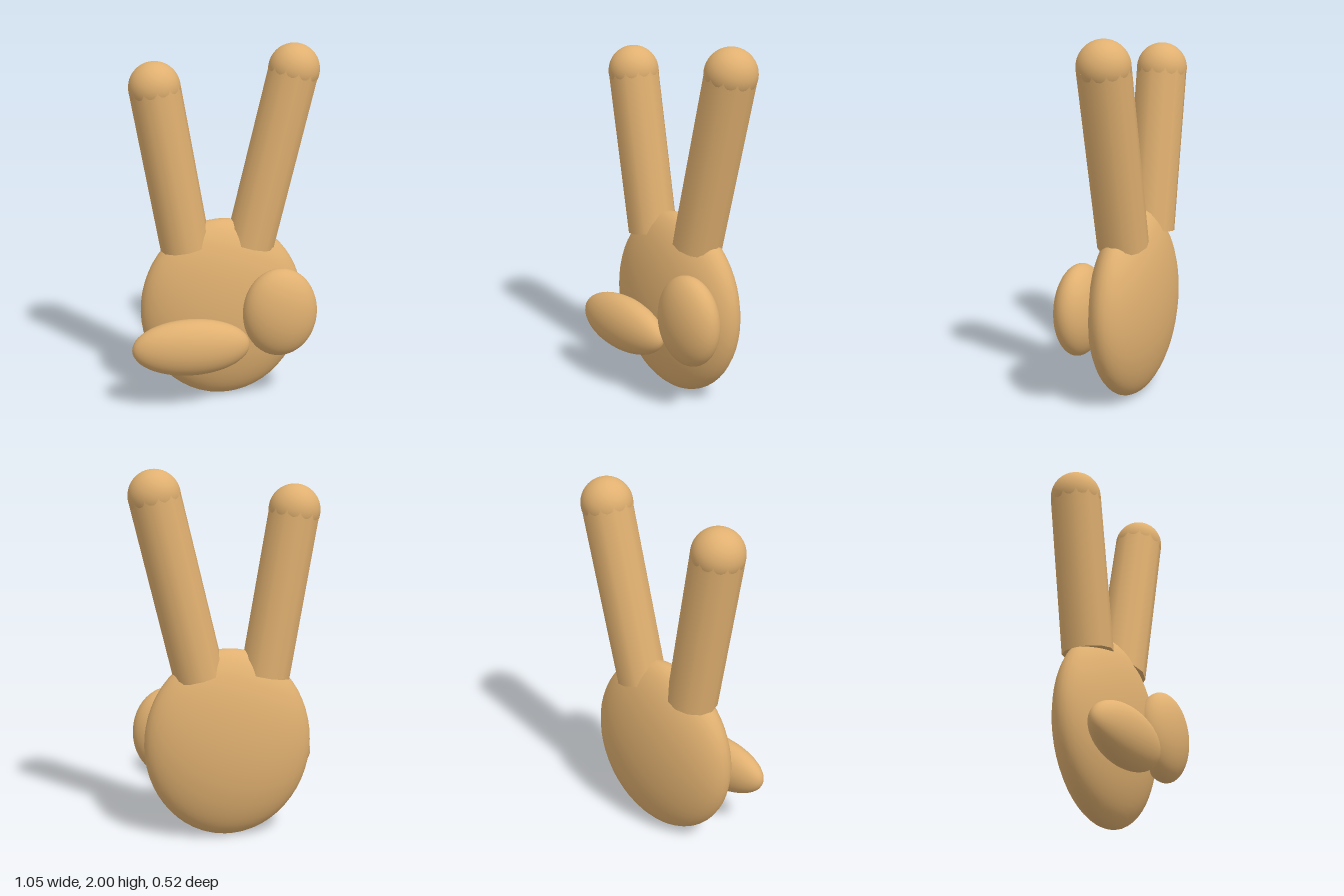
import * as THREE from 'three';

export function createModel() {
  const group = new THREE.Group();
  group.name = 'victoryHand';
  const skin = new THREE.MeshStandardMaterial({ color: 0xe0b070 });
  skin.name = 'skin';

  // Smooth ellipsoid from centre and radii
  function ellipsoid(name, centre, radii, parent = group) {
    const mesh = new THREE.Mesh(new THREE.SphereGeometry(1, 40, 28).scale(...radii), skin);
    mesh.name = name;
    mesh.position.set(...centre);
    parent.add(mesh);
  }

  // Raised finger: twelve-sided shaft with a round tip
  const radius = 0.138;
  function finger(name, base, tip) {
    const part = new THREE.Group();
    part.name = name;
    const a = new THREE.Vector3(...base);
    const b = new THREE.Vector3(...tip);
    const shaft = new THREE.Mesh(new THREE.CylinderGeometry(radius, radius, a.distanceTo(b), 12), skin);
    shaft.name = name + 'Shaft';
    shaft.position.copy(a).lerp(b, 0.5);
    shaft.quaternion.setFromUnitVectors(new THREE.Vector3(0, 1, 0), b.clone().sub(a).normalize());
    part.add(shaft);
    ellipsoid(name + 'Tip', tip, [radius, radius, radius], part);
    group.add(part);
  }

  // Flattened palm
  ellipsoid('palm', [0, 0.526, -0.075], [0.46, 0.521, 0.185]);

  // Two raised fingers spread in a V
  finger('rightFinger', [-0.205, 0.9, -0.075], [-0.358, 1.782, -0.075]);
  finger('leftFinger', [0.157, 0.9, -0.075], [0.387, 1.862, -0.075]);

  // Thumb and folded fingers across the front
  ellipsoid('foldedFingers', [-0.205, 0.39, 0.149], [0.323, 0.16, 0.112]);
  ellipsoid('thumb', [0.293, 0.552, 0.115], [0.207, 0.253, 0.121]);

  return group;
}
